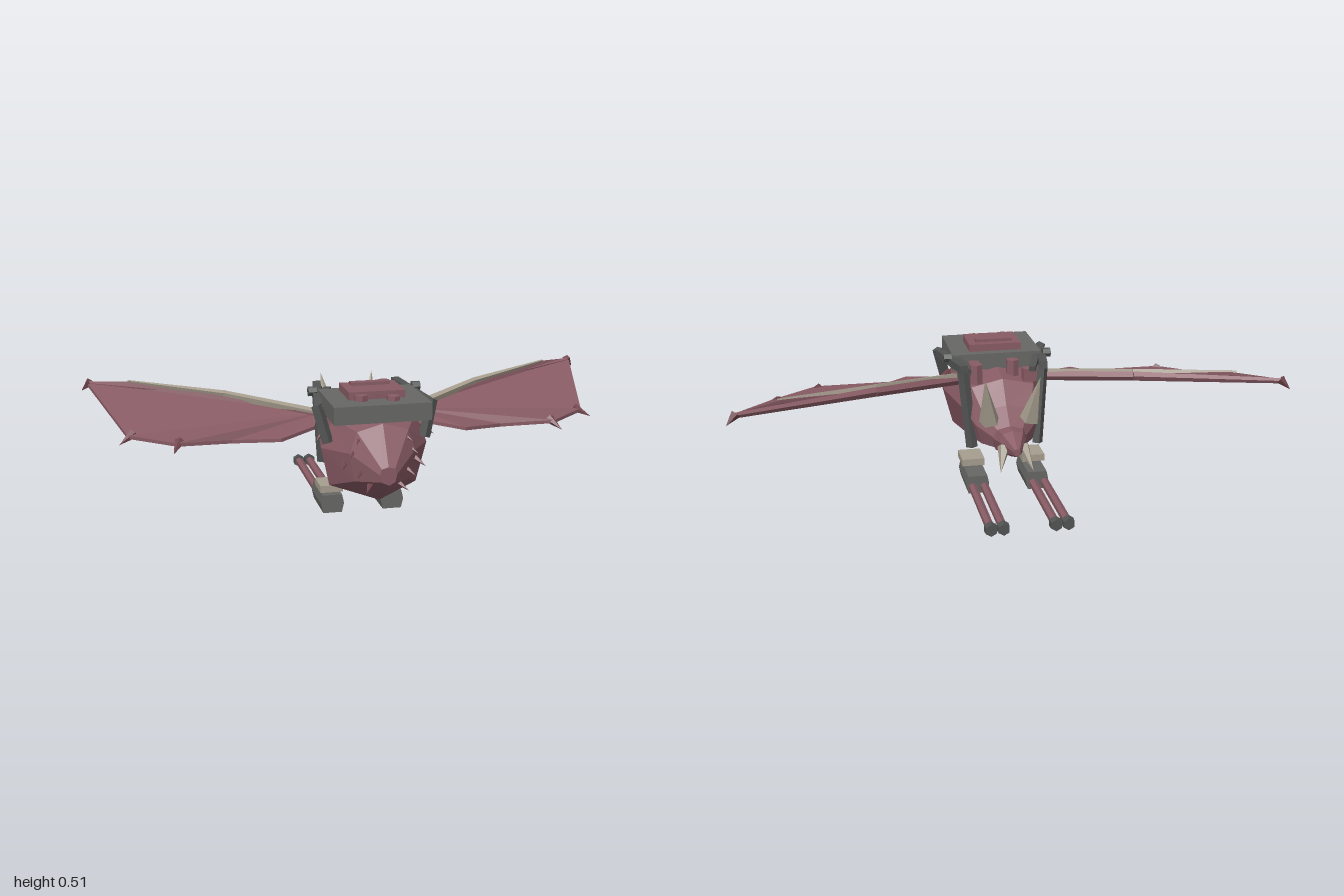
import * as THREE from 'three';

const mat = (name, color) => {
  const m = new THREE.MeshStandardMaterial({ color });
  m.name = name;
  return m;
};
const V = (x, y, z) => new THREE.Vector3(x, y, z);

export function createModel() {
  const hide = mat('dusty maroon', 0x885b64);
  const claw = mat('dark maroon', 0x74484f);
  const metal = mat('grey metal', 0x676765);
  const strapGrey = mat('dark grey', 0x525453);
  const bone = mat('bone beige', 0xa69d8e);
  const model = new THREE.Group();

  // Faceted mesh with hard edges
  function add(name, geo, material, parent = model) {
    const flat = geo.index ? geo.toNonIndexed() : geo;
    flat.computeVertexNormals();
    const mesh = new THREE.Mesh(flat, material);
    mesh.name = name;
    parent.add(mesh);
    return mesh;
  }
  const box = (name, w, h, d, x, y, z, m, p) => {
    const b = add(name, new THREE.BoxGeometry(w, h, d), m, p);
    b.position.set(x, y, z);
    return b;
  };
  // Tapered rod from a to b
  function rod(name, a, b, r0, r1, sides, m, p) {
    const dir = b.clone().sub(a), len = dir.length();
    const mesh = add(name, new THREE.CylinderGeometry(r1, r0, len, sides), m, p);
    mesh.position.copy(a).addScaledVector(dir, 0.5);
    mesh.quaternion.setFromUnitVectors(V(0, 1, 0), dir.normalize());
    return mesh;
  }
  // Rectangular bar from a to b
  function bar(name, a, b, w, h, m, p) {
    const mesh = add(name, new THREE.BoxGeometry(w, h, a.distanceTo(b)), m, p);
    mesh.position.copy(a).lerp(b, 0.5);
    mesh.lookAt(b);
    return mesh;
  }
  // Closed loft through eight-sided rings [z, halfWidth, bottom, top], back to front
  function loft(rings) {
    const section = [[0.1, 0], [0.8, 0.18], [1, 0.6], [0.78, 0.9], [0, 1], [-0.78, 0.9], [-1, 0.6], [-0.85, 0.2]];
    const n = section.length, pos = [], idx = [];
    rings.forEach(([z, w, lo, hi]) => section.forEach(([u, v]) => pos.push(u * w, lo + v * (hi - lo), z)));
    for (let r = 0; r < rings.length - 1; r++) {
      for (let i = 0; i < n; i++) {
        const a = r * n + i, b = r * n + (i + 1) % n;
        idx.push(a, b, b + n, a, b + n, a + n);
      }
    }
    const last = (rings.length - 1) * n;
    for (let i = 1; i < n - 1; i++) idx.push(0, i + 1, i, last, last + i, last + i + 1);
    const g = new THREE.BufferGeometry();
    g.setAttribute('position', new THREE.Float32BufferAttribute(pos, 3));
    g.setIndex(idx);
    return g;
  }

  // Body and pointed tail
  add('body', loft([
    [-0.12, 0.06, 0.175, 0.27], [-0.05, 0.115, 0.155, 0.33], [0.02, 0.15, 0.142, 0.41],
    [0.28, 0.19, 0.098, 0.44], [0.4, 0.115, 0.163, 0.41], [0.48, 0.03, 0.215, 0.28],
  ]), hide);
  add('tail', loft([
    [-0.253, 0.012, 0.205, 0.235], [-0.17, 0.048, 0.175, 0.273],
    [-0.11, 0.065, 0.163, 0.272], [-0.08, 0.055, 0.16, 0.245],
  ]), hide);

  // Saddle platform with raised hatch
  box('platform', 0.34, 0.062, 0.28, 0, 0.446, 0.27, metal);
  box('hatch', 0.2, 0.028, 0.156, 0, 0.49, 0.243, hide);
  box('hatchHandle', 0.14, 0.012, 0.03, 0, 0.509, 0.21, hide);

  // Hexagonal studs on the back and platform
  [[0.1, 0.46, 0.02], [0.1, 0.455, 0.065], [-0.05, 0.45, 0.09], [-0.06, 0.485, 0.33], [0.05, 0.48, 0.345]]
    .forEach(([x, y, z]) => rod('stud', V(x, y - 0.06, z), V(x, y + 0.012, z), 0.026, 0.024, 6, hide));
  box('backPlate', 0.06, 0.05, 0.035, -0.11, 0.415, 0.045, hide);

  // Wing as a thin slab over its outline, root corner first
  const outline = [
    [0.17, 0.383, 0.13], [0.48, 0.42, -0.08], [0.8, 0.455, -0.215], [0.97, 0.443, -0.3],
    [0.84, 0.342, 0.13], [0.68, 0.34, 0.26], [0.49, 0.328, 0.22], [0.33, 0.345, 0.3], [0.2, 0.36, 0.22],
  ];
  function wingGeometry(s) {
    const n = outline.length, t = 0.006, pos = [], idx = [];
    [t, -t].forEach(d => outline.forEach(([x, y, z]) => pos.push(s * x, y + d, z)));
    const tri = (a, b, c) => (s > 0 ? idx.push(a, b, c) : idx.push(a, c, b));
    for (let i = 1; i < n - 1; i++) {
      tri(0, i + 1, i);
      tri(n, n + i, n + i + 1);
    }
    for (let i = 0; i < n; i++) {
      const j = (i + 1) % n;
      tri(i, j, n + j);
      tri(i, n + j, n + i);
    }
    const g = new THREE.BufferGeometry();
    g.setAttribute('position', new THREE.Float32BufferAttribute(pos, 3));
    g.setIndex(idx);
    return g;
  }

  for (const s of [1, -1]) {
    const side = s > 0 ? 'left' : 'right';
    const P = (x, y, z) => V(s * x, y, z);
    const group = name => {
      const g = new THREE.Group();
      g.name = side + name;
      model.add(g);
      return g;
    };

    // Wing membrane, arm, bone ridge and claws
    const wing = group('Wing');
    add('membrane', wingGeometry(s), hide, wing);
    rod('wingArm', P(0.15, 0.375, 0.15), P(0.48, 0.42, -0.07), 0.02, 0.018, 5, hide, wing);
    rod('wingForearm', P(0.48, 0.42, -0.07), P(0.965, 0.443, -0.295), 0.018, 0.01, 5, hide, wing);
    rod('innerBone', P(0.16, 0.388, 0.145), P(0.48, 0.432, -0.055), 0.018, 0.014, 4, bone, wing);
    rod('outerBone', P(0.48, 0.432, -0.055), P(0.82, 0.463, -0.215), 0.014, 0.004, 4, bone, wing);
    [[3, 0.02, -0.03, -0.01], [4, 0.03, -0.02, 0.025], [5, 0.015, -0.022, 0.035]].forEach(([i, dx, dy, dz]) => {
      const [x, y, z] = outline[i];
      rod('wingClaw', P(x - dx * 0.7, y + 0.006, z - dz * 0.7), P(x + dx, y + dy, z + dz), 0.018, 0, 5, claw, wing);
    });

    // Harness straps around the body
    const harness = group('Harness');
    bar('sideRail', P(0.2, 0.443, 0.295), P(0.148, 0.462, -0.005), 0.03, 0.028, strapGrey, harness);
    bar('frontStrap', P(0.205, 0.458, 0.288), P(0.172, 0.33, 0.313), 0.03, 0.028, strapGrey, harness);
    bar('rearStrap', P(0.15, 0.455, 0.013), P(0.125, 0.165, -0.022), 0.028, 0.032, strapGrey, harness);
    bar('topStrap', P(0.155, 0.46, 0.14), P(0.11, 0.445, 0.01), 0.025, 0.02, strapGrey, harness);
    rod('buckle', P(0.175, 0.47, 0.13), P(0.205, 0.47, 0.13), 0.018, 0.018, 6, strapGrey, harness);

    // Beige spikes at the back and tail
    const spikes = group('Spikes');
    rod('backSpike', P(0.075, 0.295, -0.115), P(0.1, 0.47, -0.17), 0.038, 0, 5, bone, spikes);
    rod('smallSpike', P(0.075, 0.29, -0.06), P(0.085, 0.35, -0.075), 0.014, 0, 5, bone, spikes);
    rod('tailSpike', P(0.035, 0.22, -0.185), P(0.06, 0.147, -0.252), 0.024, 0, 5, bone, spikes);

    // Short thorns on the head
    [[0.085, 0.25, 0.415], [0.1, 0.32, 0.39], [0.08, 0.365, 0.39], [0.055, 0.205, 0.43], [0.13, 0.27, 0.375]]
      .forEach(([x, y, z]) => rod('thorn', P(x - 0.015, y + 0.01, z - 0.02), P(x + 0.018, y - 0.015, z + 0.04), 0.016, 0, 5, claw));
    rod('shoulderThorn', P(0.165, 0.37, 0.25), P(0.21, 0.335, 0.3), 0.02, 0, 5, claw);

    // Twin-barrel pod slung below, facing backwards
    const pod = group('Pod');
    const outlineShape = new THREE.Shape(
      [[-0.035, 0], [0.035, 0], [0.043, 0.035], [0.036, 0.068], [-0.036, 0.068], [-0.043, 0.035]]
        .map(([x, y]) => new THREE.Vector2(x, y)));
    const housing = new THREE.ExtrudeGeometry(outlineShape, { depth: 0.183, bevelEnabled: false });
    add('podHousing', housing, metal, pod).position.set(s * 0.113, 0, -0.078);
    box('podLid', 0.085, 0.026, 0.105, s * 0.116, 0.092, 0.053, bone, pod);
    for (const x of [0.092, 0.136]) {
      rod('barrel', P(x, 0.035, -0.1), P(x, 0.035, -0.46), 0.016, 0.016, 6, hide, pod);
      rod('muzzle', P(x, 0.035, -0.452), P(x, 0.035, -0.48), 0.024, 0.022, 6, strapGrey, pod);
    }
  }
  return model;
}
